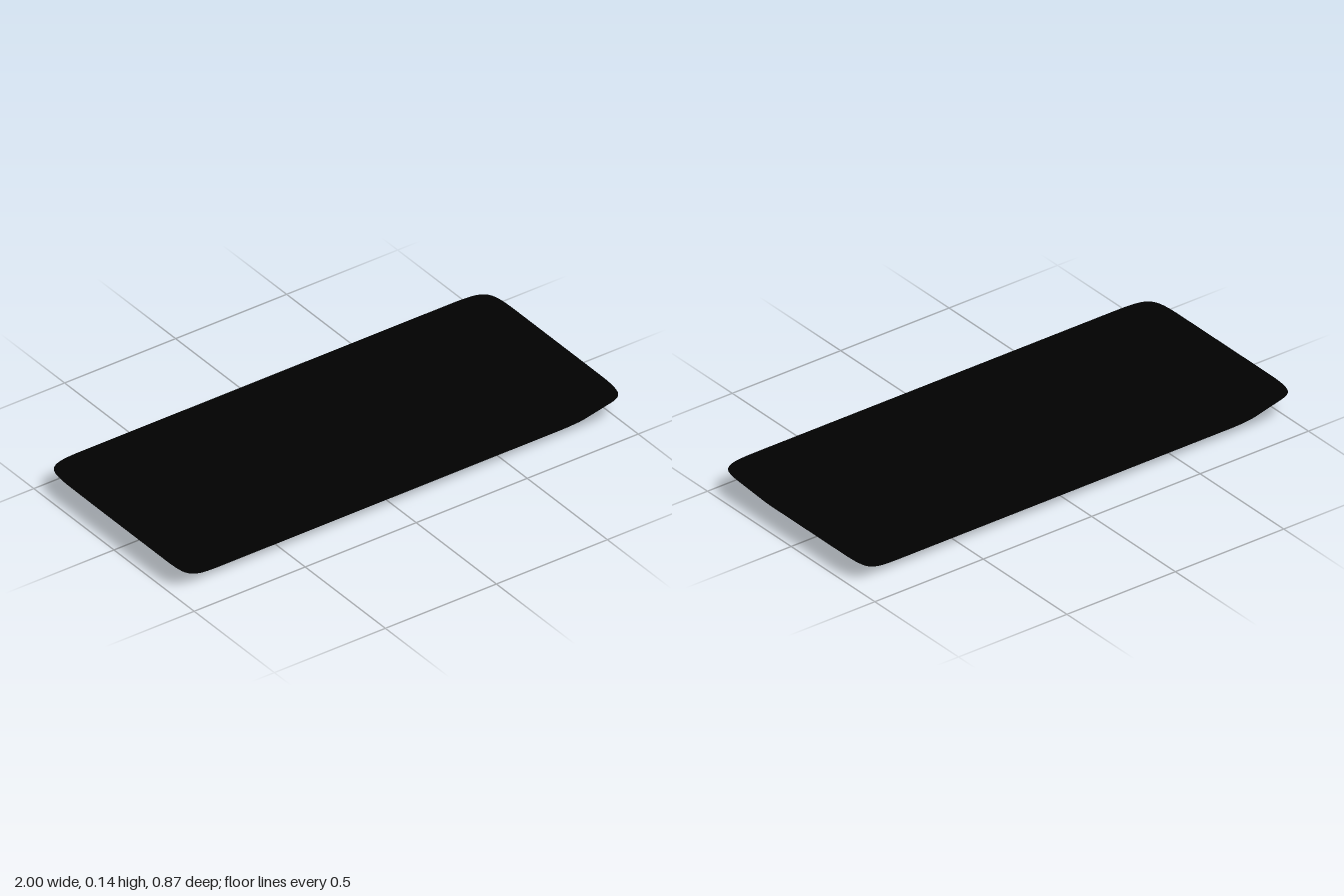
import * as THREE from 'three';

const HALF_X = 1, HALF_Z = 0.437, CORNER_STEPS = 18;

// Rounded-rectangle outline, inset from the rim; each corner is a cubic curve
// with both handles on the sharp corner, so it bows gently and turns tightly
function outline(inset) {
  const hx = HALF_X - inset, hz = HALF_Z - inset;
  const radius = 0.21 - inset * 0.4;
  const points = [];
  for (let q = 0; q < 4; q++) {
    const sx = q === 0 || q === 3 ? 1 : -1, sz = q < 2 ? 1 : -1;
    for (let i = 0; i <= CORNER_STEPS; i++) {
      const step = i / CORNER_STEPS;
      const t = q % 2 ? 1 - step : step;
      points.push([sx * (hx - radius * t ** 3), sz * (hz - radius * (1 - t) ** 3)]);
    }
  }
  return points;
}

// Skin the outlines along a wall profile of [inset, height], closing both ends
function loftDish(profile) {
  const positions = [], indices = [];
  const n = 4 * (CORNER_STEPS + 1);
  for (const [inset, y] of profile) {
    for (const [x, z] of outline(inset)) positions.push(x, y, z);
  }
  for (let r = 0; r < profile.length - 1; r++) {
    for (let i = 0; i < n; i++) {
      const j = (i + 1) % n;
      const a = r * n + i, b = r * n + j;
      indices.push(a, a + n, b, b, a + n, b + n);
    }
  }
  // Flat underside and flat inner floor
  const under = positions.length / 3, floor = under + 1, last = (profile.length - 1) * n;
  positions.push(0, profile[0][1], 0, 0, profile[profile.length - 1][1], 0);
  for (let i = 0; i < n; i++) {
    const j = (i + 1) % n;
    indices.push(under, i, j, floor, last + j, last + i);
  }
  const geometry = new THREE.BufferGeometry();
  geometry.setAttribute('position', new THREE.Float32BufferAttribute(positions, 3));
  geometry.setIndex(indices);
  geometry.computeVertexNormals();
  return geometry;
}

export function createModel() {
  const group = new THREE.Group();
  group.name = 'servingTray';

  // Wall section: underside, flared outer wall, rolled rim, inner wall, floor
  const profile = [
    [0.17, 0], [0.15, 0], [0.136, 0.002], [0.118, 0.008], [0.1, 0.019], [0.08, 0.037],
    [0.045, 0.077], [0.003, 0.125], [0, 0.13], [0.003, 0.135], [0.01, 0.139],
    [0.02, 0.14], [0.029, 0.138], [0.038, 0.131], [0.07, 0.097], [0.1, 0.066],
    [0.117, 0.05], [0.135, 0.038], [0.152, 0.032], [0.17, 0.03], [0.19, 0.03],
  ];
  const tray = new THREE.Mesh(
    loftDish(profile),
    new THREE.MeshStandardMaterial({ color: 0x010101 })
  );
  tray.name = 'tray';
  group.add(tray);
  return group;
}
